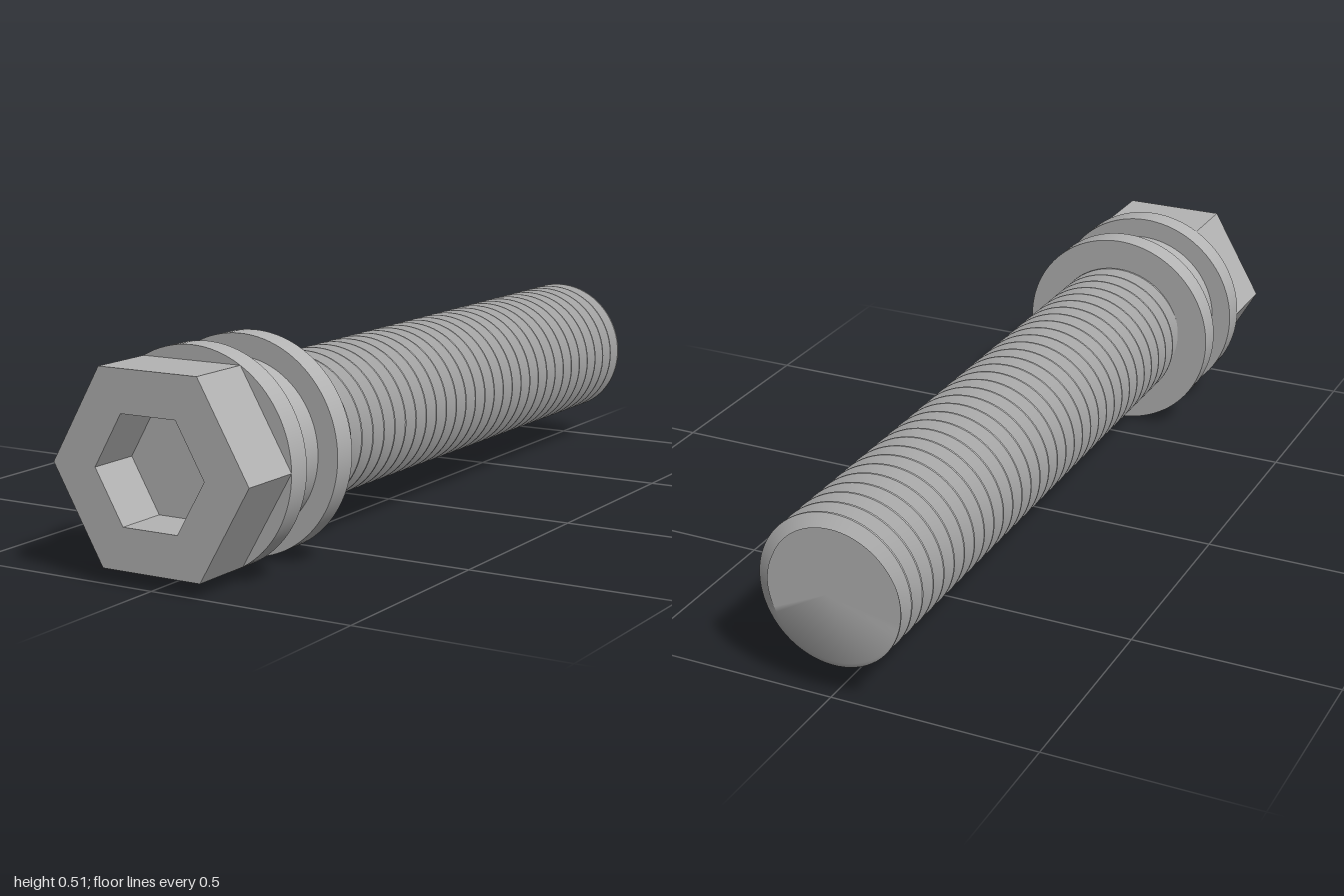
import * as THREE from 'three';
import { toCreasedNormals } from 'three/addons/utils/BufferGeometryUtils.js';

const AXIS_Y = 0.256;   // height of the bolt axis
const HEAD_R = 0.256, SOCKET_R = 0.143;
const PITCH = 0.05, CREST_R = 0.179, ROOT_R = 0.146;
const Z_TIP = -1, Z_SHANK = 0.6;

// Regular hexagon with two corners on the x axis
function hexagon(Type, r) {
  const pts = [];
  for (let i = 0; i < 6; i++) {
    const a = (i * Math.PI) / 3;
    pts.push(new THREE.Vector2(r * Math.cos(a), r * Math.sin(a)));
  }
  return new Type(pts);
}

// Hexagonal prism along z
function hexPrism(r, z0, z1, holeR) {
  const shape = hexagon(THREE.Shape, r);
  if (holeR) shape.holes.push(hexagon(THREE.Path, holeR));
  const g = new THREE.ExtrudeGeometry(shape, { depth: z1 - z0, bevelEnabled: false });
  return g.translate(0, 0, z0);
}

// Round disc along z
function disc(r, z0, z1) {
  const g = new THREE.CylinderGeometry(r, r, z1 - z0, 96);
  return g.rotateX(Math.PI / 2).translate(0, 0, (z0 + z1) / 2);
}

// Thread radius at a height and angle: V groove with small flats
function threadRadius(z, t) {
  const turns = (z + 0.975) / PITCH - t / (2 * Math.PI);
  const u = turns - Math.floor(turns);
  const s = (Math.min(u, 1 - u) - 0.05) / 0.375;
  return THREE.MathUtils.lerp(CREST_R, ROOT_R, THREE.MathUtils.clamp(s, 0, 1));
}

// Right-handed helical surface, cut flat at both ends and capped at the tip
function threadGeometry() {
  const SEG = 72, pos = [], index = [];
  const offsets = [-0.05, 0.05, 0.425, 0.575];
  const turns = Math.ceil((Z_SHANK - Z_TIP) / PITCH) + 3;
  const rows = turns * offsets.length;
  for (let i = 0; i <= SEG; i++) {
    const t = (i / SEG) * Math.PI * 2;
    for (let j = 0; j < rows; j++) {
      const k = Math.floor(j / 4) - 2 + offsets[j % 4] + i / SEG;
      const z = THREE.MathUtils.clamp(-0.975 + k * PITCH, Z_TIP, Z_SHANK);
      const r = threadRadius(z, t);
      pos.push(r * Math.cos(t), r * Math.sin(t), z);
    }
  }
  const centre = pos.length / 3;
  pos.push(0, 0, Z_TIP);
  for (let i = 0; i < SEG; i++) {
    const a = i * rows, b = a + rows;
    for (let j = 0; j < rows - 1; j++) {
      index.push(a + j, b + j, b + j + 1, a + j, b + j + 1, a + j + 1);
    }
    index.push(centre, b, a);
  }
  const g = new THREE.BufferGeometry();
  g.setAttribute('position', new THREE.Float32BufferAttribute(pos, 3));
  g.setIndex(index);
  return toCreasedNormals(g, Math.PI / 6);
}

export function createModel() {
  const steel = new THREE.MeshStandardMaterial({ color: 0xb4b4b4 });
  steel.name = 'steel grey';
  const model = new THREE.Group();
  model.name = 'socketBolt';

  const add = (name, geometry) => {
    const mesh = new THREE.Mesh(geometry, steel);
    mesh.name = name;
    mesh.position.y = AXIS_Y;
    model.add(mesh);
  };

  // Head with its hexagonal socket
  add('hexHead', hexPrism(HEAD_R, 0.84, 1, SOCKET_R));
  add('socketFloor', hexPrism(SOCKET_R, 0.84, 0.87));

  // Flanges and the neck between them
  add('headFlange', disc(HEAD_R, 0.78, 0.84));
  add('neck', disc(0.205, 0.65, 0.785));
  add('shankFlange', disc(HEAD_R, 0.595, 0.655));

  // Threaded shank
  add('threadedShank', threadGeometry());
  return model;
}
